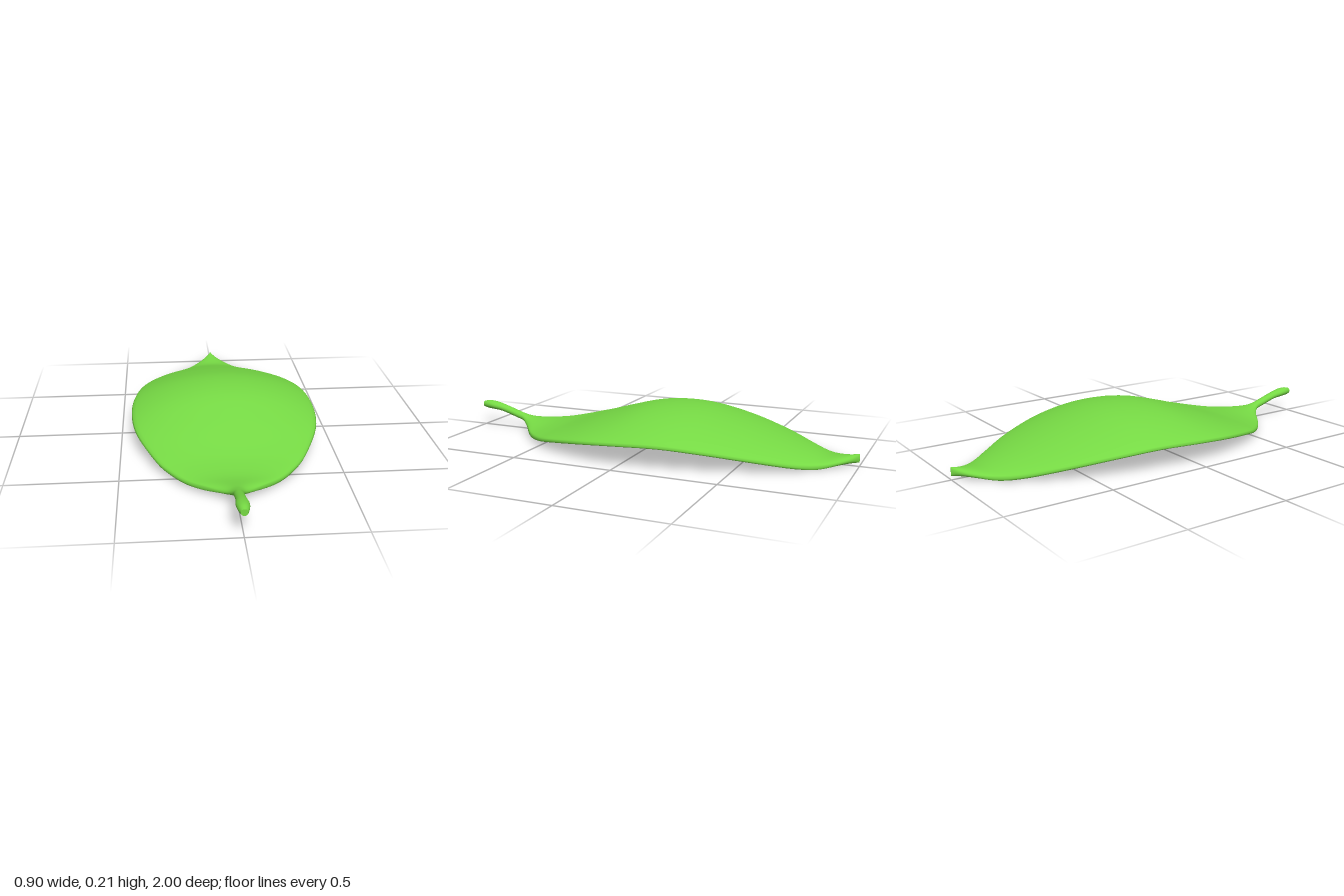
import * as THREE from 'three';

// Stations from stalk end to leaf tip:
// z, half width, centre height, edge height, half thickness
const STATIONS = [
  [1.0, 0.015, 0.124, 0.124, 0.015],
  [0.97, 0.024, 0.124, 0.124, 0.021],
  [0.93, 0.028, 0.121, 0.121, 0.021],
  [0.88, 0.023, 0.112, 0.112, 0.019],
  [0.8, 0.022, 0.088, 0.088, 0.019],
  [0.75, 0.026, 0.073, 0.071, 0.019],
  [0.7, 0.07, 0.061, 0.051, 0.019],
  [0.6, 0.195, 0.049, 0.038, 0.018],
  [0.5, 0.285, 0.058, 0.048, 0.018],
  [0.4, 0.347, 0.082, 0.066, 0.018],
  [0.2, 0.425, 0.147, 0.096, 0.018],
  [0.0, 0.45, 0.2, 0.113, 0.018],
  [-0.2, 0.435, 0.204, 0.118, 0.018],
  [-0.4, 0.385, 0.163, 0.1, 0.018],
  [-0.6, 0.297, 0.104, 0.066, 0.018],
  [-0.75, 0.203, 0.057, 0.034, 0.018],
  [-0.84, 0.133, 0.035, 0.023, 0.018],
  [-0.92, 0.067, 0.038, 0.033, 0.019],
  [-1.0, 0.002, 0.051, 0.051, 0.02],
];
const SIDES = 40;
const STEPS = 90;

// Smooth, even interpolation of every column along the leaf
const columns = [1, 2, 3, 4].map(
  (c) => new THREE.SplineCurve(STATIONS.map((s) => new THREE.Vector2(s[0], s[c])))
);

// Closed cross-section: round at the stalk, an arched thin shell in the blade
function crossSection(t) {
  const p = columns.map((curve) => curve.getPoint(t));
  const z = p[0].x;
  const [w, centre, edge, half] = p.map((v) => v.y);
  const power = 1 - 0.6 * THREE.MathUtils.smoothstep(w, 0.03, 0.15);
  const ring = [];
  for (let j = 0; j < SIDES; j++) {
    const a = (j / SIDES) * Math.PI * 2;
    const u = Math.cos(a);
    const s = Math.sin(a);
    const middle = centre + (edge - centre) * u * u;
    ring.push([w * u, middle + Math.sign(s) * half * Math.pow(Math.abs(s), power), z]);
  }
  return ring;
}

function leafGeometry() {
  const positions = [];
  const index = [];
  for (let i = 0; i <= STEPS; i++) {
    crossSection(i / STEPS).forEach((v) => positions.push(...v));
  }
  for (let i = 0; i < STEPS; i++) {
    for (let j = 0; j < SIDES; j++) {
      const k = (j + 1) % SIDES;
      const a = i * SIDES + j;
      const b = i * SIDES + k;
      index.push(a, a + SIDES, b, b, a + SIDES, b + SIDES);
    }
  }
  // Flat caps with their own vertices keep the end edges sharp
  [0, 1].forEach((t) => {
    const first = positions.length / 3;
    crossSection(t).forEach((v) => positions.push(...v));
    for (let j = 1; j < SIDES - 1; j++) {
      if (t === 0) index.push(first, first + j, first + j + 1);
      else index.push(first, first + j + 1, first + j);
    }
  });
  const geometry = new THREE.BufferGeometry();
  geometry.setAttribute('position', new THREE.Float32BufferAttribute(positions, 3));
  geometry.setIndex(index);
  geometry.computeVertexNormals();
  return geometry;
}

export function createModel() {
  const group = new THREE.Group();
  group.name = 'leaf';

  // Blade and stalk flow together as one skin
  const material = new THREE.MeshStandardMaterial({ color: 0x76d944 });
  const leaf = new THREE.Mesh(leafGeometry(), material);
  leaf.name = 'leafBladeAndStalk';
  group.add(leaf);

  return group;
}
